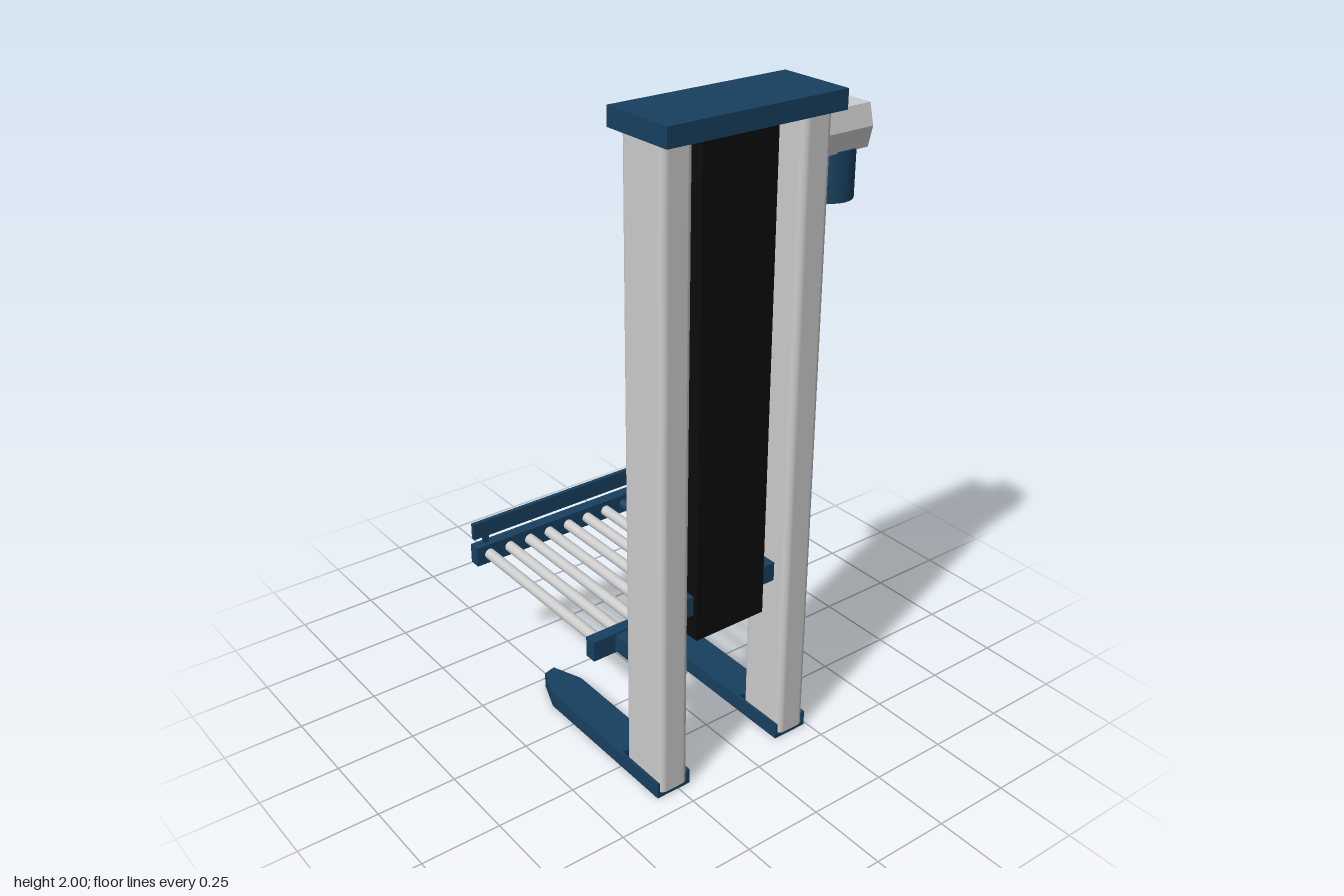
import * as THREE from 'three';

const grey = new THREE.MeshStandardMaterial({ color: 0xcccccc });
const blue = new THREE.MeshStandardMaterial({ color: 0x17405f });
const black = new THREE.MeshStandardMaterial({ color: 0x0c0c0c });

export function createModel() {
  const model = new THREE.Group();

  const add = (name, geometry, material) => {
    const mesh = new THREE.Mesh(geometry, material);
    mesh.name = name;
    model.add(mesh);
    return mesh;
  };
  // Box given by its limits on each axis
  const box = (name, material, [x0, x1], [y0, y1], [z0, z1]) =>
    add(name, new THREE.BoxGeometry(x1 - x0, y1 - y0, z1 - z0), material)
      .position.set((x0 + x1) / 2, (y0 + y1) / 2, (z0 + z1) / 2);
  // Cylinder along x
  const rod = (name, material, r, [x0, x1], y, z) => {
    const mesh = add(name, new THREE.CylinderGeometry(r, r, x1 - x0, 24), material);
    mesh.rotation.z = Math.PI / 2;
    mesh.position.set((x0 + x1) / 2, y, z);
  };
  // Plan outline (x, z) raised from y0 to y1
  const raise = (name, material, shape, y0, y1) => {
    const g = new THREE.ExtrudeGeometry(shape, { depth: y1 - y0, bevelEnabled: false, curveSegments: 8 });
    g.rotateX(Math.PI / 2).translate(0, y1, 0);
    return add(name, g, material);
  };
  const outline = (points) => new THREE.Shape(points.map(([x, z]) => new THREE.Vector2(x, z)));

  // Rounded rectangular section of an upright
  const postSection = (z) => {
    const [x0, x1, z0, z1, r] = [0.265, 0.435, z - 0.049, z + 0.049, 0.02];
    const s = new THREE.Shape();
    s.absarc(x1 - r, z1 - r, r, 0, Math.PI / 2);
    s.absarc(x0 + r, z1 - r, r, Math.PI / 2, Math.PI);
    s.absarc(x0 + r, z0 + r, r, Math.PI, Math.PI * 1.5);
    s.absarc(x1 - r, z0 + r, r, Math.PI * 1.5, Math.PI * 2);
    s.closePath();
    return s;
  };

  // Uprights, each with a pointed foot and an arm to the platform
  for (const z of [-0.183, 0.267]) {
    raise('upright', grey, postSection(z), 0.02, 1.95);
    raise('foot', blue, outline([
      [-0.225, z - 0.02], [-0.125, z - 0.058], [0.25, z - 0.058],
      [0.25, z + 0.058], [-0.115, z + 0.058], [-0.215, z + 0.02],
    ]), 0.005, 0.055);
    box('footBase', blue, [0.25, 0.43], [0.005, 0.02], [z - 0.058, z + 0.058]);
    for (const s of [-1, 1]) {
      const edge = [z + s * 0.058, z + s * 0.05].sort((a, b) => a - b);
      box('footFlange', blue, [0.25, 0.43], [0.005, 0.055], edge);
    }
    box('platformArm', blue, [0.2, 0.28], [0.39, 0.445], [z - 0.042, z + 0.042]);
  }

  // Head plate, drive cover and carriage crossbar between the uprights
  box('headPlate', blue, [0.225, 0.465], [1.945, 2], [-0.25, 0.325]);
  box('driveCover', black, [0.29, 0.4], [0.47, 1.95], [-0.08, 0.165]);
  box('carriageCrossbar', blue, [0.31, 0.385], [0.55, 0.61], [-0.14, 0.23]);

  // Platform side bars and raised end stop
  box('innerSideBar', blue, [0.17, 0.208], [0.385, 0.45], [-0.303, 0.385]);
  box('outerSideBar', blue, [-0.468, -0.43], [0.385, 0.45], [-0.303, 0.385]);
  box('endStop', blue, [-0.458, -0.444], [0.475, 0.53], [-0.303, 0.385]);
  for (const z of [-0.26, 0.34]) {
    box('endStopPost', blue, [-0.456, -0.446], [0.44, 0.48], [z - 0.01, z + 0.01]);
  }

  // Rollers, with one blue tie rod among them
  for (let i = 0; i < 9; i++) {
    const tie = i === 1;
    rod(tie ? 'tieRod' : 'roller', tie ? blue : grey, 0.0175, [-0.44, 0.18], 0.417, -0.26 + i * 0.075);
  }

  // Gearbox with sides that break at mid height
  const section = outline([
    [0.285, 1.81], [0.405, 1.81], [0.42, 1.87], [0.405, 1.93], [0.285, 1.93], [0.272, 1.87],
  ]);
  add('gearbox', new THREE.ExtrudeGeometry(section, { depth: 0.162, bevelEnabled: false }), grey)
    .position.z = -0.389;

  // Motor hanging below the gearbox, with cable glands
  add('motor', new THREE.CylinderGeometry(0.068, 0.068, 0.14, 32), blue).position.set(0.346, 1.745, -0.311);
  for (const y of [1.84, 1.895]) rod('cableGland', black, 0.025, [0.254, 0.3], y, -0.314);
  rod('motorGland', black, 0.024, [0.266, 0.3], 1.73, -0.3);

  return model;
}
